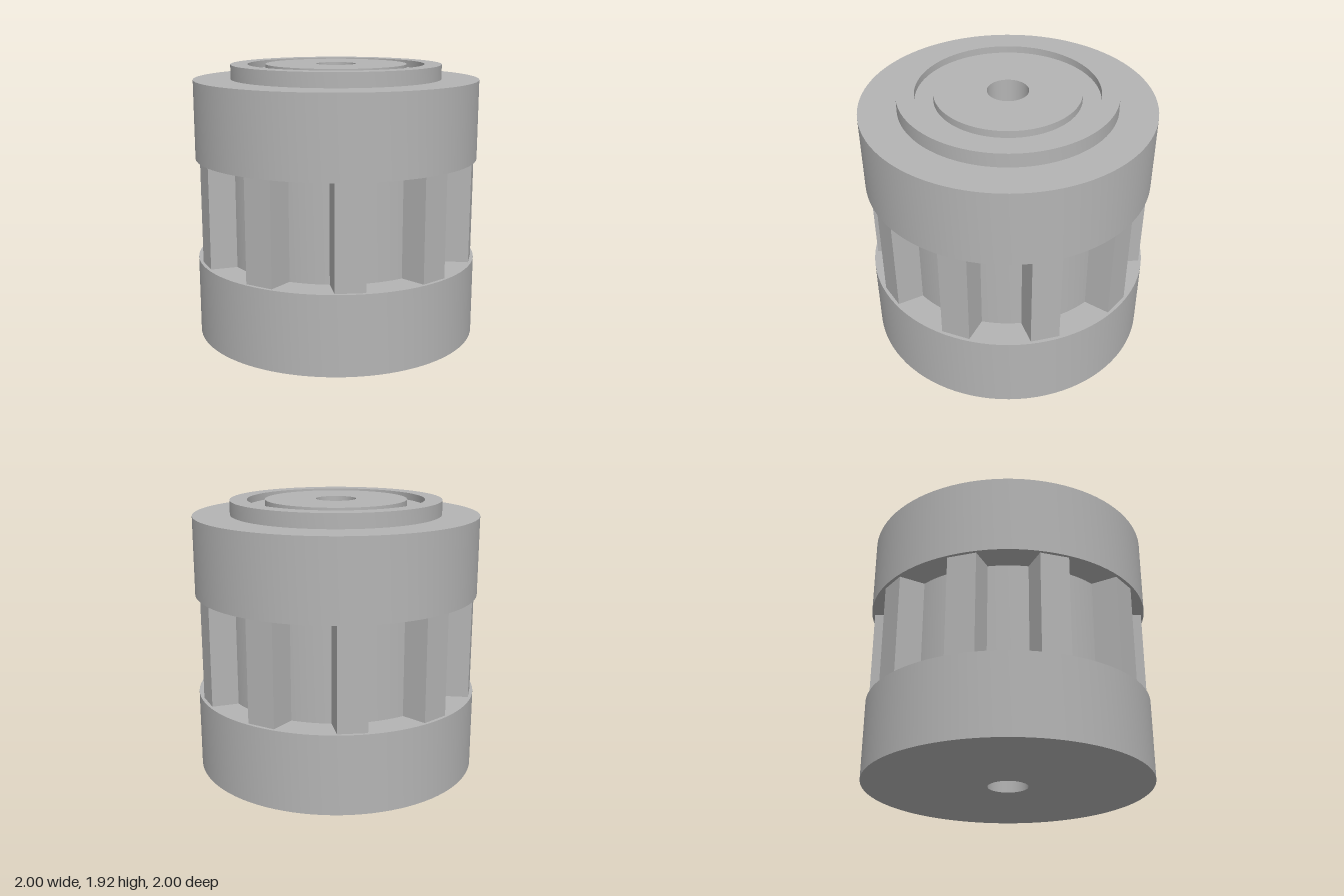
import * as THREE from 'three';
import { toCreasedNormals } from 'three/addons/utils/BufferGeometryUtils.js';

const BORE = 0.14, RIM = 1, ROOT = 0.8;
const LOWER_TOP = 0.555, UPPER_BOTTOM = 1.27, TEETH = 10;

export function createModel() {
  const group = new THREE.Group();
  const grey = new THREE.MeshStandardMaterial({ color: 0xb4b4b4 });
  grey.name = 'plain grey';

  const add = (name, geometry, parent = group) => {
    const mesh = new THREE.Mesh(geometry, grey);
    mesh.name = name;
    parent.add(mesh);
    return mesh;
  };
  // Turned part from [radius, height] points, with sharp corners
  const turned = (name, points) => add(name, toCreasedNormals(
    new THREE.LatheGeometry(points.map(([r, y]) => new THREE.Vector2(r, y)), 96), 0.6));

  turned('lowerFlange', [[BORE, 0], [RIM, 0], [RIM, LOWER_TOP], [ROOT, LOWER_TOP]]);
  turned('core', [[ROOT, LOWER_TOP], [ROOT, UPPER_BOTTOM]]);

  // Upper flange with raised collar, ring groove and centre boss
  turned('upperFlange', [
    [ROOT, UPPER_BOTTOM], [RIM, UPPER_BOTTOM], [RIM, 1.82], [0.74, 1.82],
    [0.74, 1.92], [0.62, 1.92], [0.62, 1.87], [0.495, 1.87],
    [0.495, 1.92], [BORE, 1.92],
  ]);
  turned('bore', [[BORE, 1.92], [BORE, 0]]);

  // Ring of slightly tapered teeth around the core
  const profile = new THREE.Shape([[-0.115, 0.79], [0.115, 0.79], [0.1, 0.975], [-0.1, 0.975]]
    .map(([x, y]) => new THREE.Vector2(x, y)));
  const toothGeometry = new THREE.ExtrudeGeometry(profile,
    { depth: UPPER_BOTTOM - LOWER_TOP, bevelEnabled: false });
  toothGeometry.rotateX(-Math.PI / 2).translate(0, LOWER_TOP, 0);
  const teeth = new THREE.Group();
  teeth.name = 'teeth';
  group.add(teeth);
  for (let i = 0; i < TEETH; i++) {
    add('tooth', toothGeometry, teeth).rotation.y = (i / TEETH) * Math.PI * 2;
  }
  return group;
}
